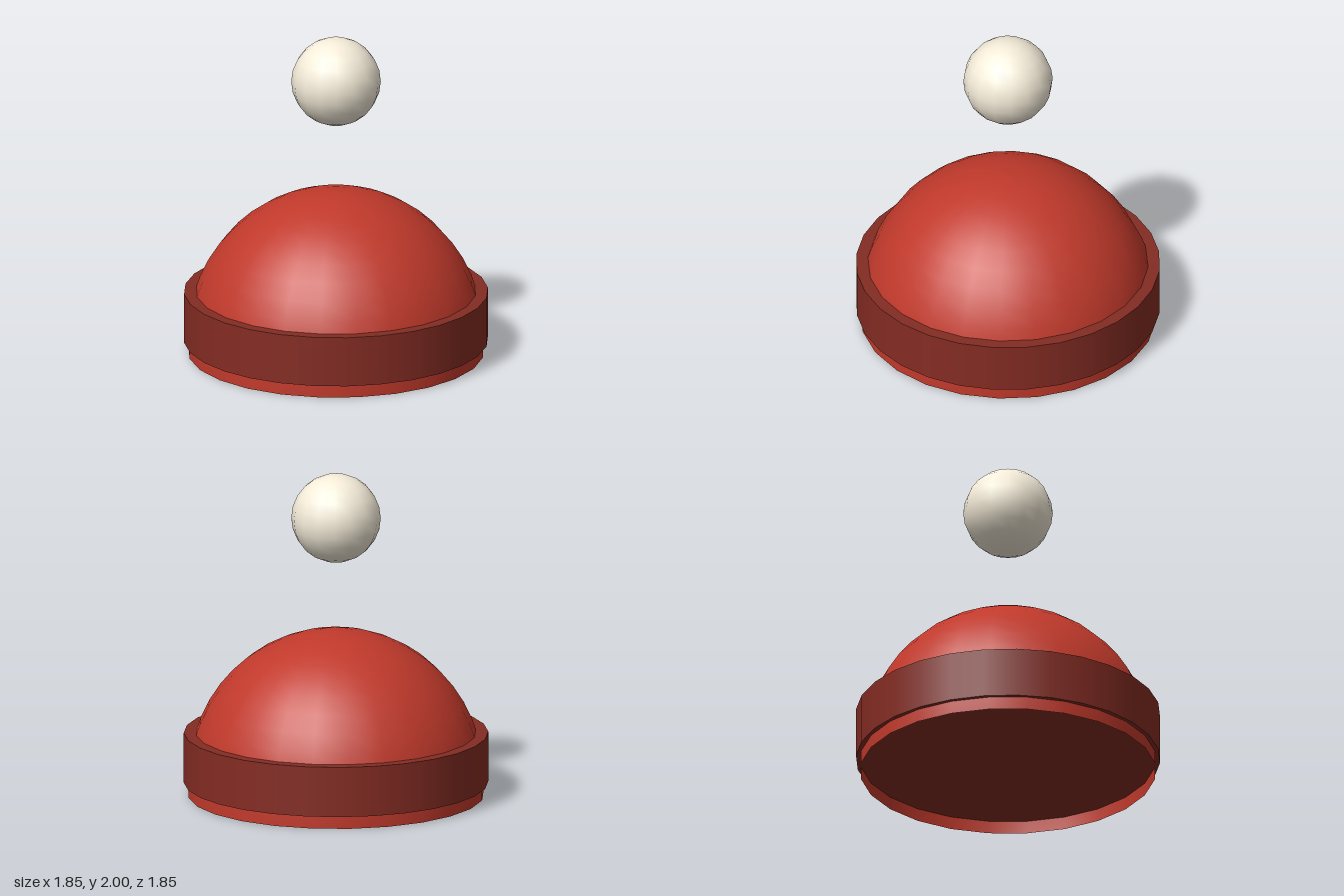
import * as THREE from 'three';

const paint = (color, side = THREE.FrontSide) => new THREE.MeshStandardMaterial({ color, side });

export function createModel() {
  const group = new THREE.Group();
  const add = (name, geometry, material, y = 0) => {
    const mesh = new THREE.Mesh(geometry, material);
    mesh.name = name;
    mesh.position.y = y;
    group.add(mesh);
  };

  // Hollow dome: short straight skirt rising into a rounded crown, open below
  const radius = 0.9, skirt = 0.1, crown = 0.925, steps = 12;
  const profile = [new THREE.Vector2(radius, 0)];
  for (let i = 0; i <= steps; i++) {
    const a = (i / steps) * Math.PI / 2;
    profile.push(new THREE.Vector2(i === steps ? 0 : radius * Math.cos(a), skirt + crown * Math.sin(a)));
  }
  add('dome', new THREE.LatheGeometry(profile, 24), paint(0xc0392b, THREE.DoubleSide));

  // Wide band around the base, closed across the dome's underside
  add('band', new THREE.CylinderGeometry(0.925, 0.925, 0.31, 28), paint(0x842c23), 0.235);

  // Ball floating above the dome
  add('ball', new THREE.SphereGeometry(0.272, 16, 12), paint(0xf5ecd9), 1.728);

  return group;
}
